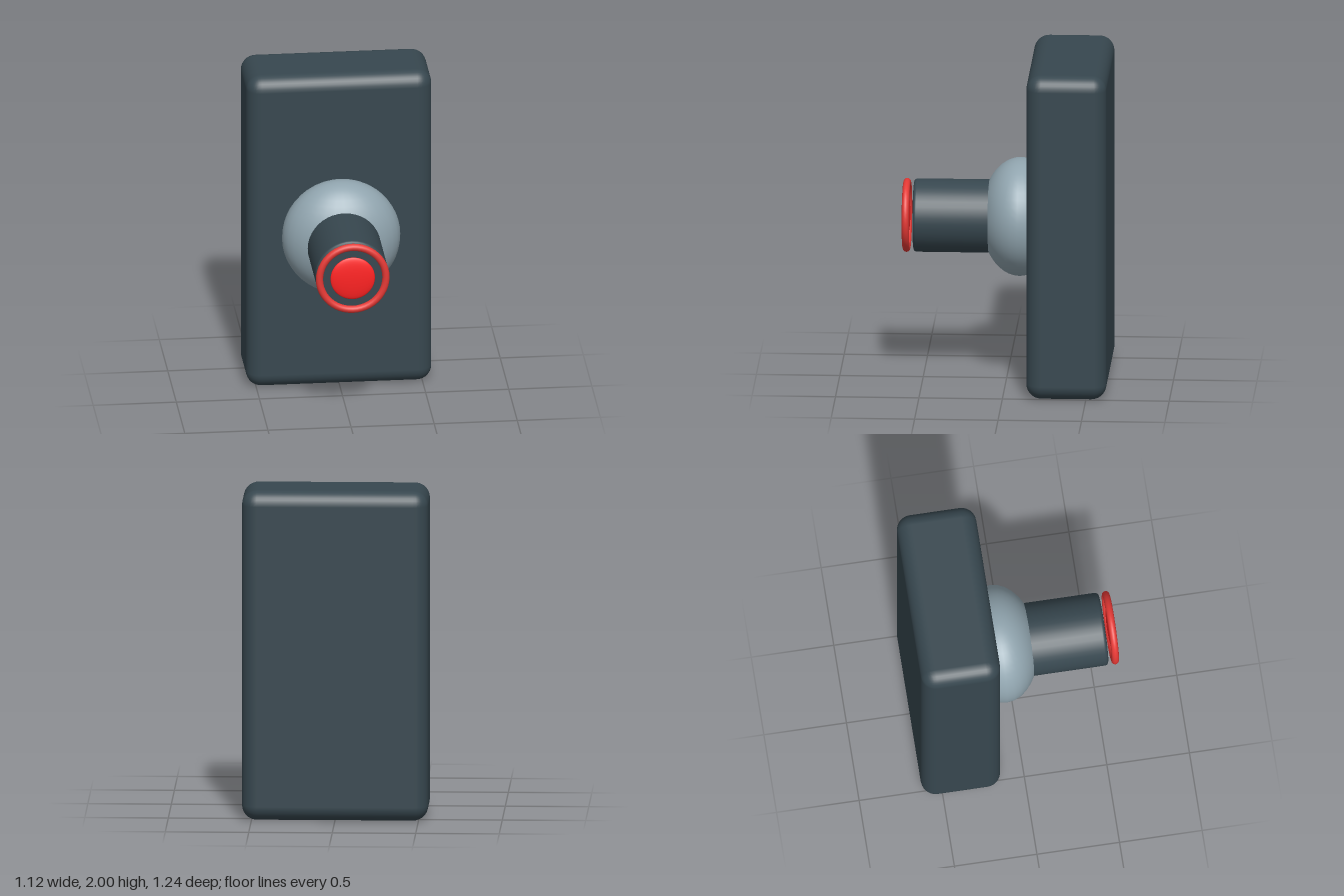
import * as THREE from 'three';
import { RoundedBoxGeometry } from 'three/addons/geometries/RoundedBoxGeometry.js';

const DARK = 0x37474f, GREY = 0x90a4ae, RED = 0xe53935, BRIGHT = 0xff2222;

export function createModel() {
  const group = new THREE.Group();
  const add = (name, geometry, color, y, z) => {
    const mesh = new THREE.Mesh(geometry, new THREE.MeshStandardMaterial({ color }));
    mesh.name = name;
    mesh.position.set(0, y, z);
    group.add(mesh);
    return mesh;
  };

  // Upright slab with rounded edges
  add('body', new RoundedBoxGeometry(1.115, 2, 0.48, 4, 0.09), DARK, 1, -0.382);

  // Flattened ball where the barrel meets the slab
  add('joint', new THREE.SphereGeometry(0.356, 32, 24), GREY, 1, -0.08).scale.z = 0.66;

  // Barrel with a small rounded rim, turned to point forward
  const r = 0.22, bevel = 0.02, length = 0.555;
  const profile = [new THREE.Vector2(0, 0), new THREE.Vector2(r, 0), new THREE.Vector2(r, 0.01)];
  for (let i = 0; i <= 4; i++) {
    const a = (i / 4) * Math.PI / 2;
    profile.push(new THREE.Vector2(r - bevel + bevel * Math.cos(a), length - bevel + bevel * Math.sin(a)));
  }
  profile.push(new THREE.Vector2(r - bevel - 0.005, length), new THREE.Vector2(0, length));
  const barrel = new THREE.LatheGeometry(profile, 40);
  barrel.rotateX(Math.PI / 2);
  add('barrel', barrel, DARK, 1, 0);

  // Ring floating just ahead of the barrel, with a thin lens in its centre
  add('ring', new THREE.TorusGeometry(0.2, 0.022, 12, 48), RED, 1, 0.598);
  add('lens', new THREE.SphereGeometry(0.134, 32, 20), BRIGHT, 1, 0.598).scale.z = 0.15;

  return group;
}
